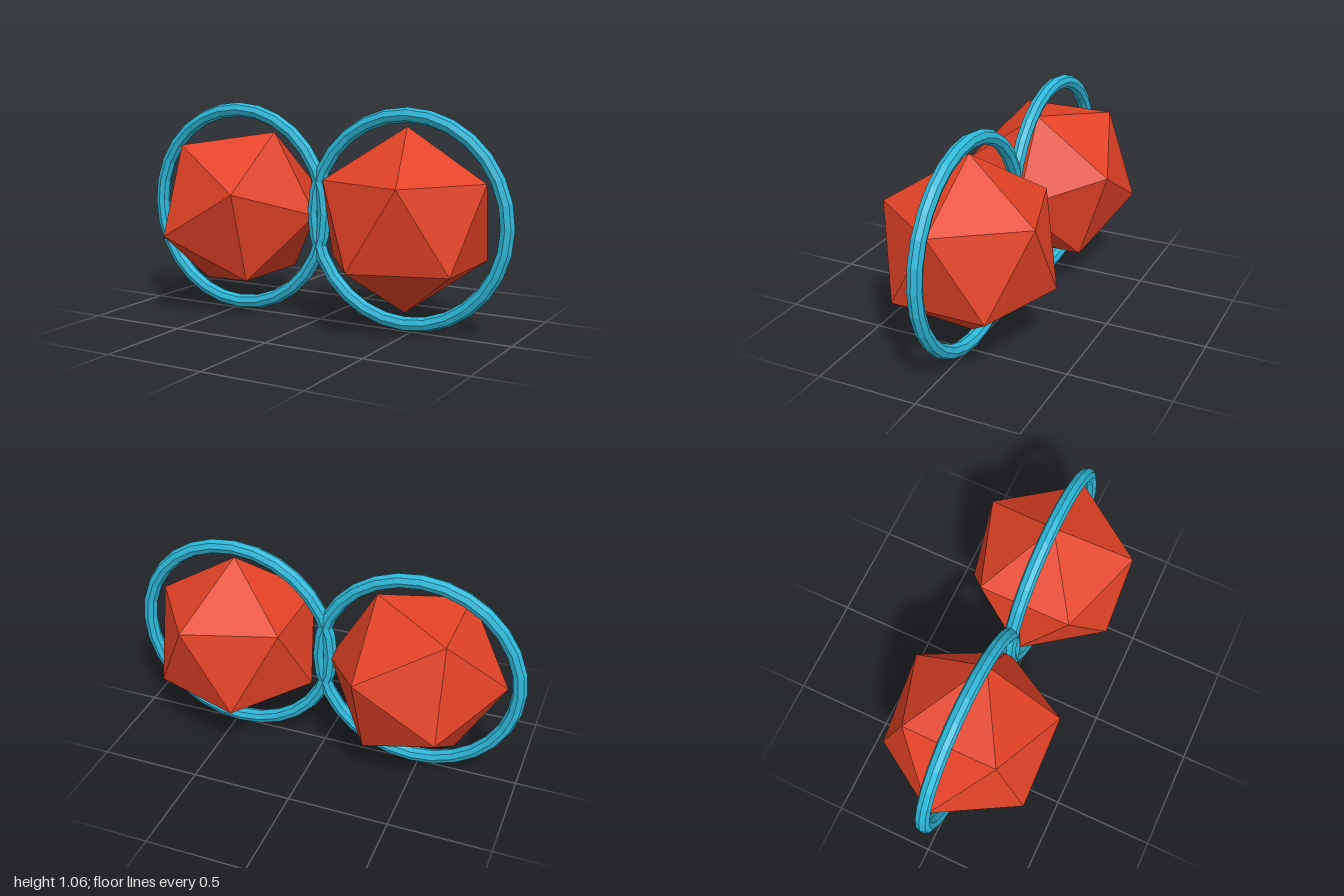
import * as THREE from 'three';

const RADIUS = 0.4965;   // ring centreline
const TUBE = 0.0355;     // ring thickness
const CENTRE_X = 0.468;
const CENTRE_Y = RADIUS + TUBE;

export function createModel() {
  const red = new THREE.MeshStandardMaterial({ color: 0xe24226 });
  red.name = 'red';
  red.flatShading = true;
  const cyan = new THREE.MeshStandardMaterial({ color: 0x2eb8d9 });
  cyan.name = 'cyan';
  cyan.flatShading = true;

  const ringGeometry = new THREE.TorusGeometry(RADIUS, TUBE, 8, 28);
  const gemGeometry = new THREE.IcosahedronGeometry(0.4425, 0);

  // One ring with a faceted gem turned about z inside it
  function lens(name, x, degrees) {
    const group = new THREE.Group();
    group.name = name;
    const ring = new THREE.Mesh(ringGeometry, cyan);
    ring.name = 'ring';
    const gem = new THREE.Mesh(gemGeometry, red);
    gem.name = 'gem';
    gem.rotation.z = THREE.MathUtils.degToRad(degrees);
    group.add(ring, gem);
    group.position.set(x, CENTRE_Y, 0);
    return group;
  }

  const model = new THREE.Group();
  model.name = 'ringedGems';
  model.add(lens('leftLens', CENTRE_X, -31.72), lens('rightLens', -CENTRE_X, -60));
  return model;
}
